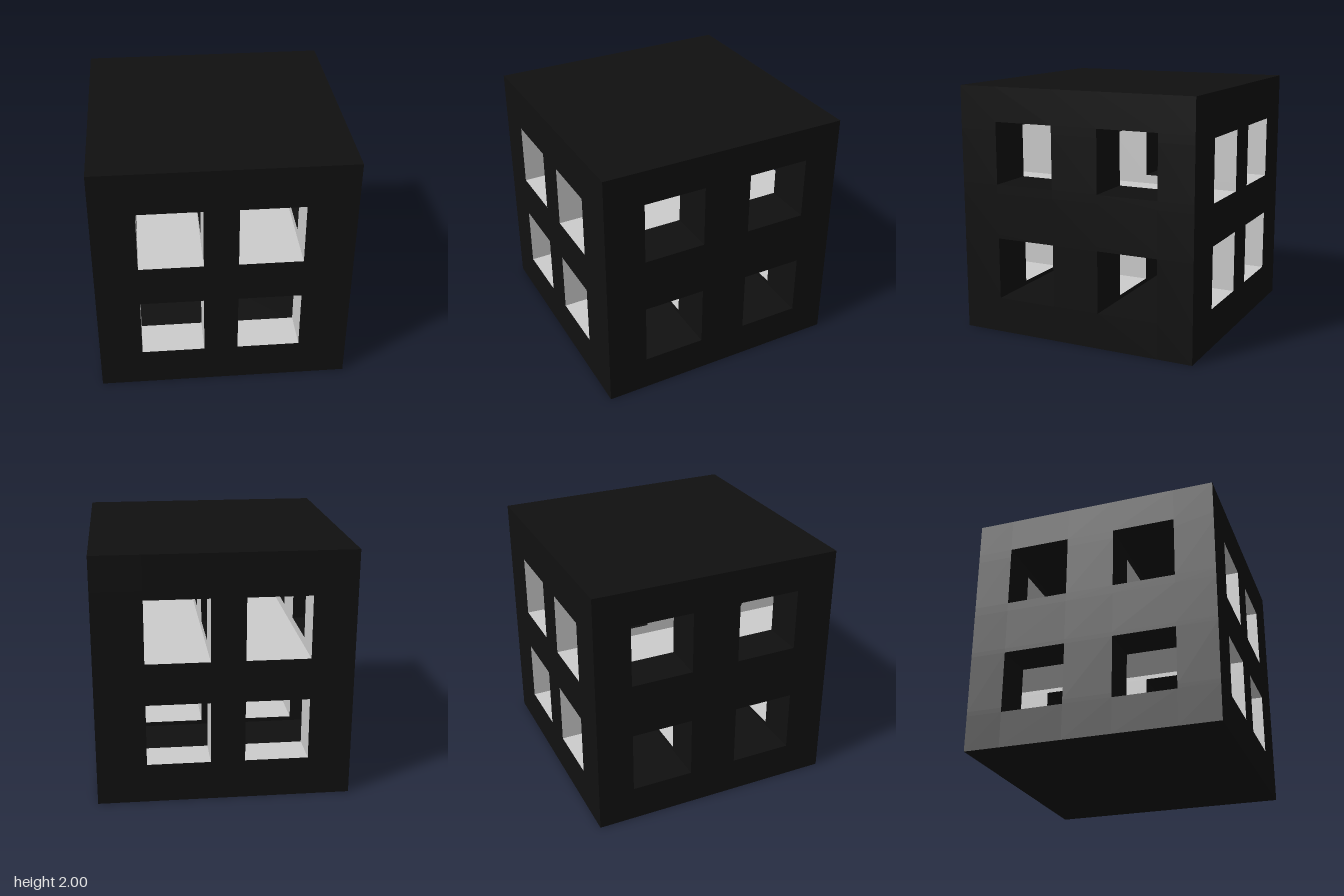
import * as THREE from 'three';

// Square tunnels through the cube: half width, and centres across and up
const HALF = 0.25;
const frontTunnels = { across: [-0.41, 0.36], up: [0.57, 1.405] }; // run along z, across = x
const sideTunnels = { across: [-0.46, 0.43], up: [0.535, 1.475] }; // run along x, across = z

const edges = (centres) => centres.flatMap((c) => [c - HALF, c + HALF]);
const cuts = (min, max, ...lists) => [min, max, ...lists.flatMap(edges)].sort((a, b) => a - b);
const near = (centres, v) => centres.some((c) => Math.abs(v - c) < HALF);
const inside = (tunnels, across, up) => near(tunnels.across, across) && near(tunnels.up, up);

function makeMesh(name, positions, color) {
  const geometry = new THREE.BufferGeometry();
  geometry.setAttribute('position', new THREE.Float32BufferAttribute(positions, 3));
  geometry.computeVertexNormals();
  const mesh = new THREE.Mesh(geometry, new THREE.MeshStandardMaterial({ color }));
  mesh.name = name;
  return mesh;
}

export function createModel() {
  // Planes that divide the cube into solid and hollow cells
  const grid = [
    cuts(-1, 1, frontTunnels.across),
    cuts(0, 2, frontTunnels.up, sideTunnels.up),
    cuts(-1, 1, sideTunnels.across),
  ];
  const middle = (cell) => cell.map((i, axis) => (grid[axis][i] + grid[axis][i + 1]) / 2);
  const outside = (cell) => cell.some((i, axis) => i < 0 || i >= grid[axis].length - 1);
  const inFront = (cell) => {
    const [x, y] = middle(cell);
    return inside(frontTunnels, x, y);
  };
  const solid = (cell) => {
    if (outside(cell)) return false;
    const [, y, z] = middle(cell);
    return !inFront(cell) && !inside(sideTunnels, z, y);
  };

  const body = [];
  const lining = [];

  // One rectangle on the side of a cell that faces along +axis or -axis
  function addFace(target, cell, axis, step) {
    const u = (axis + 1) % 3;
    const v = (axis + 2) % 3;
    const corner = (du, dv) => {
      const p = [0, 0, 0];
      p[axis] = grid[axis][cell[axis] + (step > 0 ? 1 : 0)];
      p[u] = grid[u][cell[u] + du];
      p[v] = grid[v][cell[v] + dv];
      return p;
    };
    const [a, b, c, d] = [corner(0, 0), corner(1, 0), corner(1, 1), corner(0, 1)];
    const order = step > 0 ? [a, b, c, a, c, d] : [a, c, b, a, d, c];
    target.push(...order.flat());
  }

  // Skin every solid cell where it meets a hollow or the outside
  for (let i = 0; i < grid[0].length - 1; i++) {
    for (let j = 0; j < grid[1].length - 1; j++) {
      for (let k = 0; k < grid[2].length - 1; k++) {
        const cell = [i, j, k];
        if (!solid(cell)) continue;
        for (let axis = 0; axis < 3; axis++) {
          for (const step of [-1, 1]) {
            const next = [...cell];
            next[axis] += step;
            if (solid(next)) continue;
            const pale = !outside(next) && inFront(next);
            addFace(pale ? lining : body, cell, axis, step);
          }
        }
      }
    }
  }

  const group = new THREE.Group();
  group.name = 'piercedCube';
  group.add(makeMesh('cubeBody', body, 0x101010)); // outer faces and side tunnels
  group.add(makeMesh('frontTunnelWalls', lining, 0xcccccc));
  return group;
}
